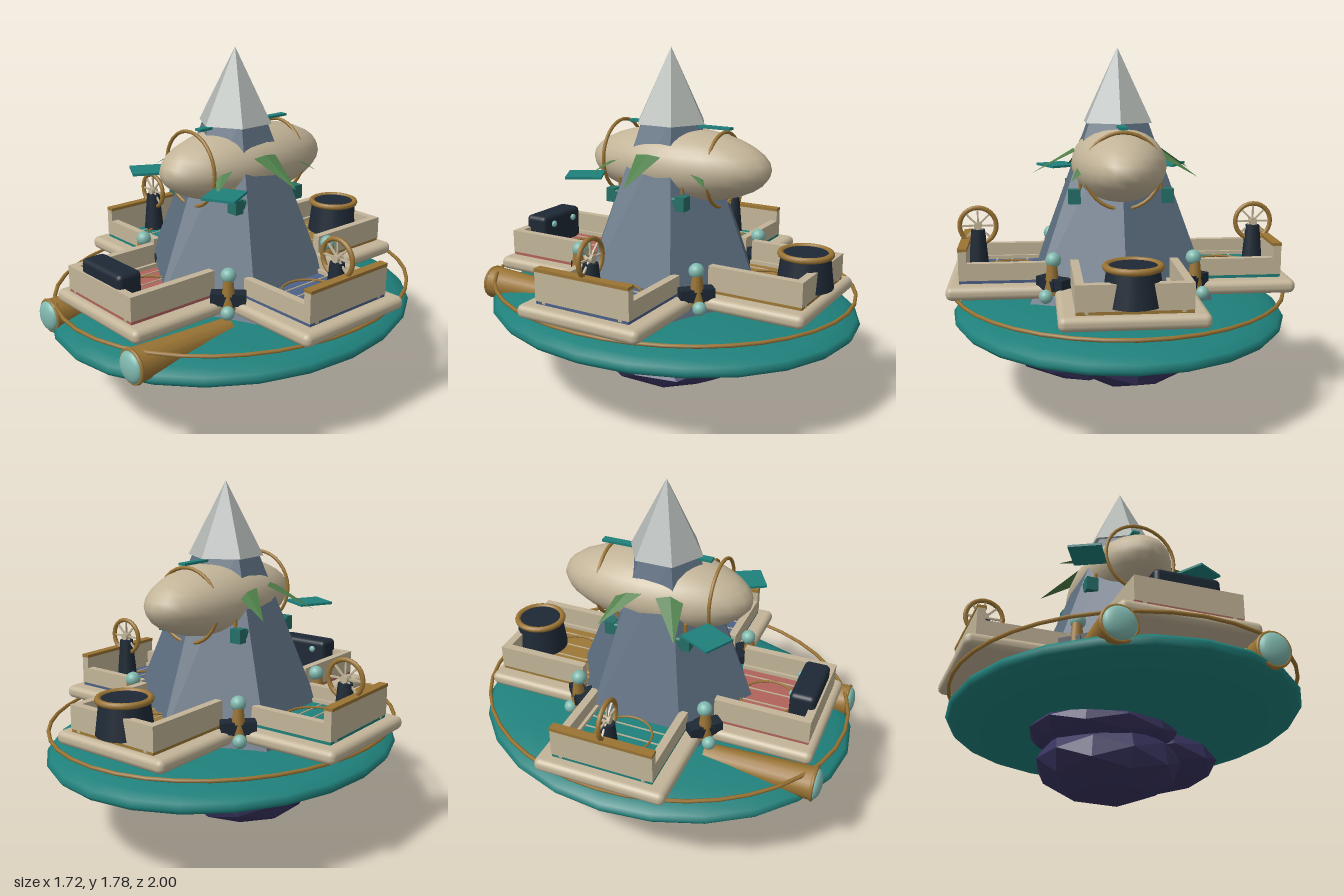
import * as THREE from 'three';
import { RoundedBoxGeometry } from 'three/addons/geometries/RoundedBoxGeometry.js';

const mat = (color, flatShading = false) => new THREE.MeshStandardMaterial({ color, flatShading });
const M = {
  teal: mat(0x1f807b), tan: mat(0xc2b498), bronze: mat(0x9a7434), cyan: mat(0x7fb8ae),
  navy: mat(0x1e2935), rock: mat(0x38335f, true), slate: mat(0x5c6d7e, true), tip: mat(0xb0b5b2, true),
  mount: mat(0x256f68), leaf: mat(0x4f7f4a, true), red: mat(0xb0625a), blue: mat(0x4c6088), ochre: mat(0x9c7836),
};

function add(parent, name, geo, material, x = 0, y = 0, z = 0) {
  const m = new THREE.Mesh(geo, material);
  m.name = name;
  m.position.set(x, y, z);
  parent.add(m);
  return m;
}
const box = (w, h, d) => new THREE.BoxGeometry(w, h, d);
const cyl = (top, bottom, h, n = 12) => new THREE.CylinderGeometry(top, bottom, h, n);
const ball = (rx, ry, rz, w = 24, h = 16) => new THREE.SphereGeometry(1, w, h).scale(rx, ry, rz);

// Faceted boulder, dented by a smooth rule
function boulder(rx, ry, rz) {
  const g = new THREE.IcosahedronGeometry(1, 1);
  const p = g.attributes.position;
  for (let i = 0; i < p.count; i++) {
    const x = p.getX(i), y = p.getY(i), z = p.getZ(i);
    const f = 1 - 0.1 * Math.abs(Math.sin(x * 7 + z * 5 + y * 3));
    p.setXYZ(i, x * f * rx, y * f * ry, z * f * rz);
  }
  g.computeVertexNormals();
  return g;
}

// Balcony module facing +z: rounded slab, coloured floor, U of walls, slats and ring
function balcony(name, o) {
  const g = new THREE.Group();
  g.name = name;
  const start = 0.36, len = o.wall - start, mid = (o.wall + start) / 2;
  add(g, 'balconySlab', new RoundedBoxGeometry(0.67, 0.068, o.slab - start, 3, 0.03), M.tan, 0, 0.611, (o.slab + start) / 2);
  add(g, 'balconyFloor', box(0.515, 0.018, len - 0.005), o.floor, 0, 0.652, mid);
  for (const s of [-1, 1]) {
    const h = o.sideTop - 0.66;
    add(g, 'sideWall', box(0.04, h, len), M.tan, s * 0.24, 0.66 + h / 2, mid);
    add(g, 'floorTrim', box(0.018, 0.03, len), M.tan, s * 0.212, 0.665, mid);
  }
  const h = o.outerTop - 0.66;
  add(g, 'outerWall', box(0.52, h, 0.04), M.tan, 0, 0.66 + h / 2, o.wall - 0.02);
  if (o.cap) add(g, 'wallCap', box(0.52, 0.016, 0.046), M.bronze, 0, o.outerTop + 0.006, o.wall - 0.02);
  for (let i = 0; i < 4; i++) {
    const t = i / 3 - 0.5;
    if (o.across) add(g, 'floorSlat', box(0.42, 0.006, 0.006), M.tan, 0, 0.663, 0.59 + t * 0.24);
    else add(g, 'floorSlat', box(0.006, 0.006, len - 0.05), M.tan, t * 0.3, 0.663, mid);
  }
  add(g, 'floorRing', new THREE.TorusGeometry(0.14, 0.006, 6, 28).rotateX(Math.PI / 2), M.bronze, 0, 0.668, o.ring);
  return g;
}

// Ship's wheel on a dark pedestal, lying in the xy plane
function helm(x) {
  const g = new THREE.Group();
  g.name = 'helm';
  g.position.x = x;
  add(g, 'helmPedestal', cyl(0.036, 0.055, 0.21, 10), M.navy, 0, 0.76, 0);
  add(g, 'wheelRim', new THREE.TorusGeometry(0.093, 0.012, 8, 24), M.bronze, 0, 0.885, 0);
  add(g, 'wheelHub', cyl(0.02, 0.02, 0.04).rotateX(Math.PI / 2), M.tan, 0, 0.885, 0);
  for (let i = 0; i < 4; i++) {
    add(g, 'wheelSpoke', box(0.18, 0.009, 0.009), M.tan, 0, 0.885, 0).rotation.z = i * Math.PI / 4;
  }
  return g;
}

export function createModel() {
  const root = new THREE.Group();
  root.name = 'floatingAirship';

  // Boulders under the deck
  add(root, 'lowerRock', boulder(0.38, 0.185, 0.37), M.rock, -0.08, 0.185, 0.05);
  add(root, 'sideRock', boulder(0.39, 0.13, 0.41), M.rock, 0.18, 0.27, -0.12);
  add(root, 'upperRock', boulder(0.39, 0.12, 0.37), M.rock, -0.12, 0.32, 0.09);

  // Deck disc and its rail
  add(root, 'deck', ball(0.85, 0.12, 1, 24, 16), M.teal, 0, 0.44, 0);
  const oval = Array.from({ length: 20 }, (_, i) => {
    const a = i / 20 * Math.PI * 2;
    return new THREE.Vector3(0.845 * Math.sin(a), 0.57, 0.97 * Math.cos(a));
  });
  add(root, 'deckRail', new THREE.TubeGeometry(new THREE.CatmullRomCurve3(oval, true), 40, 0.01, 6, true), M.bronze);

  // Six-sided tower and spire
  add(root, 'tower', cyl(0.155, 0.53, 0.93, 6), M.slate, 0, 0.985, 0);
  add(root, 'spire', new THREE.ConeGeometry(0.19, 0.37, 6), M.tip, 0, 1.595, 0);

  // Balloon with hoops, top strip and hangers
  add(root, 'balloon', ball(0.237, 0.185, 0.5), M.tan, 0, 1.205, -0.05);
  add(root, 'frontHoop', new THREE.TorusGeometry(0.185, 0.009, 8, 32), M.bronze, 0, 1.215, 0.29);
  add(root, 'rearHoop', new THREE.TorusGeometry(0.185, 0.009, 8, 32), M.bronze, 0, 1.195, -0.3);
  add(root, 'topStrip', box(0.04, 0.012, 0.58), M.teal, 0, 1.4, -0.05);
  for (const s of [-1, 1]) {
    add(root, 'balloonMount', new RoundedBoxGeometry(0.06, 0.05, 0.43, 2, 0.012), M.mount, s * 0.23, 1.065, 0);
    for (const z of [-0.18, 0.18]) {
      add(root, 'mountLug', box(0.06, 0.07, 0.05), M.mount, s * 0.23, 1.06, z * 1.1);
      add(root, 'hanger', cyl(0.009, 0.009, 0.2, 6), M.bronze, s * 0.2, 1.04, z);
    }
    add(root, 'steeringPlate', box(0.165, 0.012, 0.18), M.teal, s * 0.295, 1.155, 0.325).rotation.y = s * 0.5;
  }

  // Drooping leaf fins
  for (const [x, z] of [[0.44, 0], [0.25, 0.33], [-0.4, 0.2], [-0.38, -0.2], [0.25, -0.33]]) {
    const base = new THREE.Vector3(x * 0.5, 1.27, z * 0.5), end = new THREE.Vector3(x, 1.15, z);
    const dir = end.clone().sub(base), len = dir.length();
    const side = new THREE.Vector3(-z, 0, x).normalize();
    const fin = add(root, 'leafFin', new THREE.ConeGeometry(0.07, len, 4).scale(1, 1, 0.14), M.leaf);
    dir.normalize();
    fin.quaternion.setFromRotationMatrix(new THREE.Matrix4().makeBasis(side, dir, side.clone().cross(dir)));
    fin.position.copy(base).add(end).multiplyScalar(0.5);
  }

  // Four balconies
  const long = { slab: 0.88, wall: 0.845, sideTop: 0.78, outerTop: 0.78, ring: 0.56 };
  const short = { slab: 0.86, wall: 0.8, sideTop: 0.745, outerTop: 0.805, ring: 0.55, cap: true, across: true };
  root.add(balcony('frontBalcony', { ...long, floor: M.red }));
  const back = balcony('backBalcony', { ...long, floor: M.ochre });
  back.rotation.y = Math.PI;
  const left = balcony('leftBalcony', { ...short, floor: M.blue });
  left.rotation.y = Math.PI / 2;
  const right = balcony('rightBalcony', { ...short, floor: M.teal });
  right.rotation.y = -Math.PI / 2;
  root.add(back, left, right, helm(0.715), helm(-0.715));

  // Console on the front balcony
  add(root, 'console', new RoundedBoxGeometry(0.32, 0.18, 0.13, 3, 0.025), M.navy, 0, 0.755, 0.77);
  for (const s of [-1, 1]) add(root, 'consoleButton', ball(0.018, 0.018, 0.014, 12, 8), M.cyan, s * 0.085, 0.795, 0.7);

  // Funnel on the back balcony
  add(root, 'funnel', cyl(0.118, 0.14, 0.17, 20), M.navy, 0, 0.755, -0.75);
  add(root, 'funnelRim', new THREE.TorusGeometry(0.122, 0.016, 8, 28).rotateX(Math.PI / 2), M.bronze, 0, 0.835, -0.75);

  // Corner lamps between the balconies
  for (const sx of [-1, 1]) for (const sz of [-1, 1]) {
    const lamp = new THREE.Group();
    lamp.name = 'cornerLamp';
    lamp.position.set(sx * 0.34, 0, sz * 0.34);
    lamp.rotation.y = Math.atan2(sx, sz);
    add(lamp, 'lampBlock', box(0.17, 0.06, 0.07), M.navy, 0, 0.66, 0);
    add(lamp, 'lampCrossBlock', box(0.07, 0.05, 0.16), M.navy, 0, 0.655, -0.04);
    add(lamp, 'lampStem', cyl(0.024, 0.04, 0.15, 10), M.bronze, 0, 0.685, 0.01);
    add(lamp, 'lampGlobe', ball(0.038, 0.038, 0.038, 16, 12), M.cyan, 0, 0.775, 0);
    add(lamp, 'lampFoot', ball(0.034, 0.034, 0.034, 16, 12), M.cyan, 0, 0.605, 0.055);
    root.add(lamp);
  }

  // Twin front thrusters
  for (const s of [-1, 1]) {
    add(root, 'thruster', cyl(0.084, 0.06, 0.56, 14).rotateX(Math.PI / 2), M.bronze, s * 0.352, 0.502, 0.635);
    add(root, 'thrusterRim', new THREE.TorusGeometry(0.079, 0.009, 8, 24), M.bronze, s * 0.352, 0.502, 0.912);
    add(root, 'thrusterLens', ball(0.076, 0.076, 0.033), M.cyan, s * 0.352, 0.502, 0.917);
  }
  return root;
}
